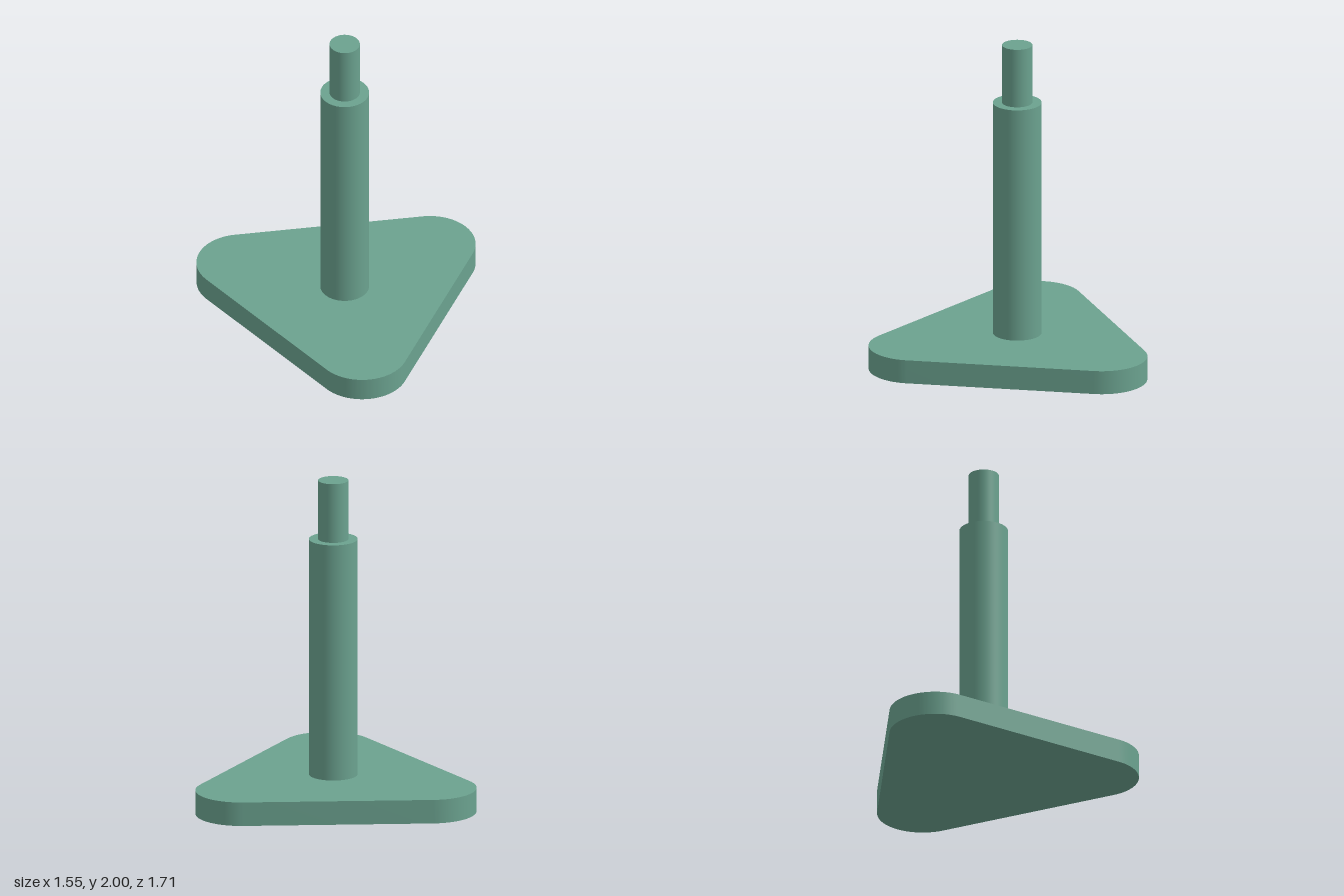
import * as THREE from 'three';
import { toCreasedNormals } from 'three/addons/utils/BufferGeometryUtils.js';

const AXIS_X = -0.168; // the post and the triangle share this axis

export function createModel() {
  const model = new THREE.Group();
  model.name = 'postOnTriangularBase';
  const green = new THREE.MeshStandardMaterial({ color: 0x6ba28f });
  green.name = 'sage green';

  function add(name, geometry, y) {
    const mesh = new THREE.Mesh(geometry, green);
    mesh.name = name;
    mesh.position.set(AXIS_X, y, 0);
    model.add(mesh);
  }

  // Base plate: equilateral triangle with rounded corners
  const cornerDistance = 0.666, cornerRadius = 0.277, baseHeight = 0.148;
  const outline = new THREE.Shape();
  for (let i = 0; i < 3; i++) {
    const a = (i * 2 * Math.PI) / 3;
    outline.absarc(
      cornerDistance * Math.cos(a), cornerDistance * Math.sin(a),
      cornerRadius, a - Math.PI / 3, a + Math.PI / 3, false
    );
  }
  outline.closePath();
  const plate = new THREE.ExtrudeGeometry(outline, {
    depth: baseHeight, bevelEnabled: false, curveSegments: 32,
  });
  plate.rotateX(-Math.PI / 2);
  add('basePlate', toCreasedNormals(plate, Math.PI / 6), 0);

  // Stepped post: thick column with a thinner pin on top
  function addRod(name, radius, bottom, top) {
    add(name, new THREE.CylinderGeometry(radius, radius, top - bottom, 64), (bottom + top) / 2);
  }
  addRod('column', 0.148, baseHeight, 1.63);
  addRod('topPin', 0.092, 1.63, 2);

  return model;
}
